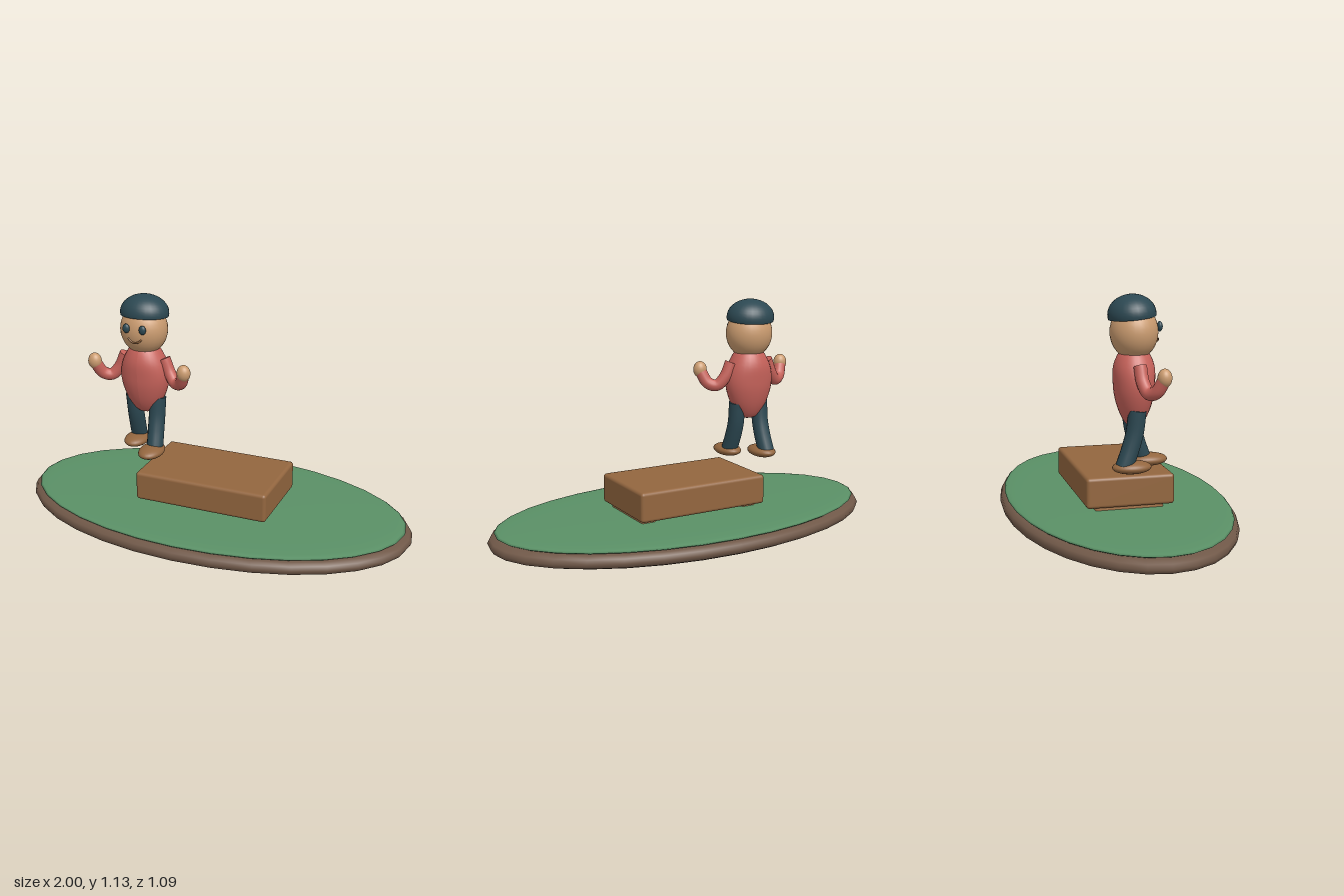
import * as THREE from 'three';
import { RoundedBoxGeometry } from 'three/addons/geometries/RoundedBoxGeometry.js';

const material = (name, color, side = THREE.FrontSide) => {
  const m = new THREE.MeshStandardMaterial({ color, side });
  m.name = name;
  return m;
};

export function createModel() {
  const grass = material('grass green', 0x5a9066);
  const earth = material('earth brown', 0x705848);
  const wood = material('wood brown', 0x93663f);
  const paleWood = material('pale wood', 0xa5764c);
  const skin = material('skin', 0xcb9c70);
  const shirt = material('shirt red', 0xc6625a);
  const slate = material('dark slate', 0x2c4852, THREE.DoubleSide);

  const model = new THREE.Group();
  model.name = 'figureOnIsland';

  const add = (parent, name, geometry, mat, x = 0, y = 0, z = 0) => {
    const mesh = new THREE.Mesh(geometry, mat);
    mesh.name = name;
    mesh.position.set(x, y, z);
    parent.add(mesh);
    return mesh;
  };
  const ellipsoid = (parent, name, mat, [x, y, z], [rx, ry, rz]) =>
    add(parent, name, new THREE.SphereGeometry(1, 28, 18).scale(rx, ry, rz), mat, x, y, z);

  // Flattened oval slab with a rounded, squarish rim
  const slab = (name, mat, y, rx, ry, rz) => {
    const points = [];
    for (let i = 0; i <= 16; i++) {
      const t = -Math.PI / 2 + (i / 16) * Math.PI;
      const s = Math.sin(t);
      const r = i % 16 === 0 ? 0 : Math.pow(Math.cos(t), 0.62);
      points.push(new THREE.Vector2(r, Math.sign(s) * Math.pow(Math.abs(s), 0.62)));
    }
    add(model, name, new THREE.LatheGeometry(points, 32).scale(rx, ry, rz), mat, 0, y, 0);
  };
  slab('earthBase', earth, 0.067, 1, 0.056, 0.546);
  slab('grassTop', grass, 0.112, 0.968, 0.017, 0.523);

  // Bench block on two runners that pass through the island
  add(model, 'benchBlock', new RoundedBoxGeometry(0.68, 0.145, 0.422, 3, 0.016), wood, 0, 0.217, 0);
  for (const s of [-1, 1]) {
    add(model, 'benchRunner', new RoundedBoxGeometry(0.076, 0.18, 0.33, 2, 0.012), paleWood, s * 0.278, 0.09, 0);
  }

  // Figure
  const figure = new THREE.Group();
  figure.name = 'figure';
  figure.position.x = -0.374;
  model.add(figure);

  // Torso: lathe that grows rounder towards the neck
  const profile = new THREE.SplineCurve([
    [0.001, 0.535], [0.045, 0.545], [0.088, 0.6], [0.116, 0.67],
    [0.125, 0.735], [0.112, 0.8], [0.08, 0.862], [0.06, 0.882],
  ].map(([r, y]) => new THREE.Vector2(r, y))).getPoints(24);
  const torso = new THREE.LatheGeometry(profile, 28);
  const p = torso.attributes.position;
  for (let i = 0; i < p.count; i++) {
    const blend = THREE.MathUtils.smoothstep(p.getY(i), 0.72, 0.87);
    p.setZ(i, p.getZ(i) * THREE.MathUtils.lerp(0.74, 0.92, blend));
  }
  torso.computeVertexNormals();
  add(figure, 'torso', torso, shirt);

  // Head, cap and face
  ellipsoid(figure, 'head', skin, [0, 0.965, 0], [0.118, 0.125, 0.109]);
  const cap = add(figure, 'cap',
    new THREE.SphereGeometry(1, 28, 12, 0, Math.PI * 2, 0, 1.75).scale(0.121, 0.089, 0.109),
    slate, 0, 1.045, -0.01);
  cap.rotation.x = -0.1;
  const smile = new THREE.QuadraticBezierCurve3(
    new THREE.Vector3(-0.036, 0.942, 0.103),
    new THREE.Vector3(0, 0.902, 0.111),
    new THREE.Vector3(0.036, 0.942, 0.103));
  add(figure, 'mouth', new THREE.TubeGeometry(smile, 16, 0.0045, 8), wood);

  // Round limb along a smooth path, closed at its upper end
  const limb = (name, mat, points, radius) => {
    const curve = new THREE.CatmullRomCurve3(points.map((q) => new THREE.Vector3(...q)));
    add(figure, name, new THREE.TubeGeometry(curve, 24, radius, 16), mat);
    const start = curve.getPoint(0);
    const end = add(figure, name + 'End', new THREE.CircleGeometry(radius, 16), mat, start.x, start.y, start.z);
    end.quaternion.setFromUnitVectors(new THREE.Vector3(0, 0, 1), curve.getTangent(0).negate());
  };

  for (const s of [-1, 1]) {
    const side = s > 0 ? 'left' : 'right';
    ellipsoid(figure, side + 'Eye', slate, [s * 0.043, 0.991, 0.107], [0.018, 0.023, 0.013]);

    // Raised arms with bent elbows
    limb(side + 'Arm', shirt, [
      [s * 0.105, 0.825, 0], [s * 0.135, 0.755, 0.005], [s * 0.172, 0.713, 0.022],
      [s * 0.21, 0.724, 0.045], [s * 0.236, 0.778, 0.07],
    ], 0.03);
    ellipsoid(figure, side + 'Hand', skin, [s * 0.239, 0.79, 0.073], [0.034, 0.041, 0.032]);

    // Striding legs, the left one forward
    limb(side + 'Leg', slate, [
      [s * 0.066, 0.62, 0], [s * 0.064, 0.52, s * 0.012],
      [s * 0.066, 0.45, s * 0.031], [s * 0.072, 0.365, s * 0.062],
    ], 0.041);
    ellipsoid(figure, side + 'Shoe', wood, [s * 0.067, 0.361, s > 0 ? 0.088 : -0.026], [0.061, 0.03, 0.091]);
  }

  return model;
}
